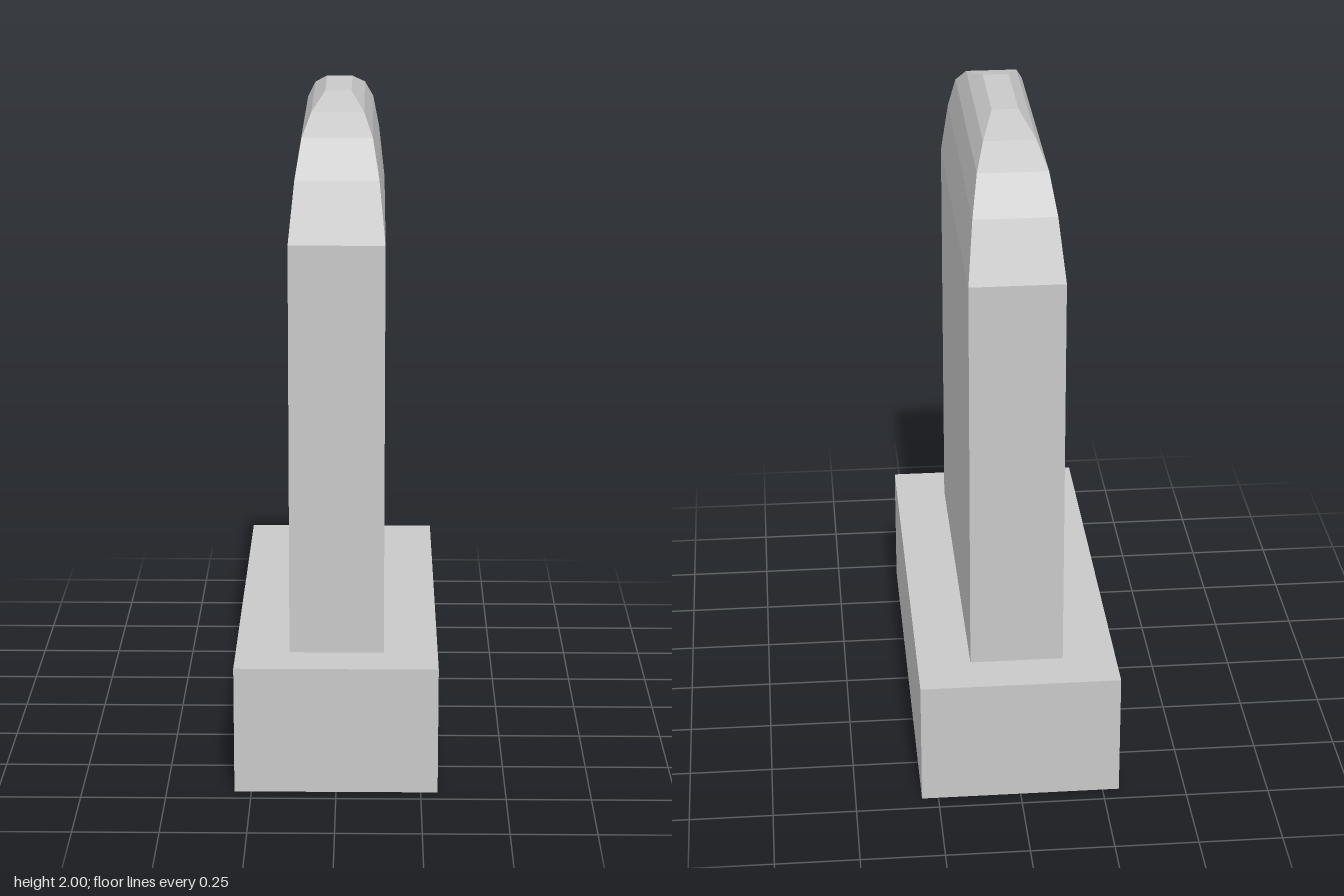
import * as THREE from 'three';

// Tablet outline from bottom to top: [height, half width x, half depth z]
const LEVELS = [
  [0.38, 0.14, 0.558],
  [1.615, 0.14, 0.558],
  [1.79, 0.122, 0.482],
  [1.9, 0.103, 0.408],
  [1.96, 0.077, 0.31],
  [2.0, 0.039, 0.155],
];

// Reshape a segmented box so each row of vertices follows one level
function tabletGeometry() {
  const rows = LEVELS.length - 1;
  const box = new THREE.BoxGeometry(2, rows, 2, 1, rows, 1);
  const pos = box.attributes.position;
  for (let i = 0; i < pos.count; i++) {
    const [y, halfX, halfZ] = LEVELS[Math.round(pos.getY(i) + rows / 2)];
    pos.setXYZ(i, pos.getX(i) * halfX, y, pos.getZ(i) * halfZ);
  }
  const geometry = box.toNonIndexed();
  geometry.computeVertexNormals(); // one normal per facet
  return geometry;
}

export function createModel() {
  const group = new THREE.Group();
  group.name = 'headstone';
  const stone = new THREE.MeshStandardMaterial({ color: 0xc8c8c8 });
  stone.name = 'grey stone';

  // Rectangular plinth
  const plinth = new THREE.Mesh(new THREE.BoxGeometry(0.6, 0.385, 1.4), stone);
  plinth.name = 'plinth';
  plinth.position.y = 0.1925;

  // Upright slab with a faceted, tapering top
  const tablet = new THREE.Mesh(tabletGeometry(), stone);
  tablet.name = 'tablet';

  group.add(plinth, tablet);
  return group;
}
